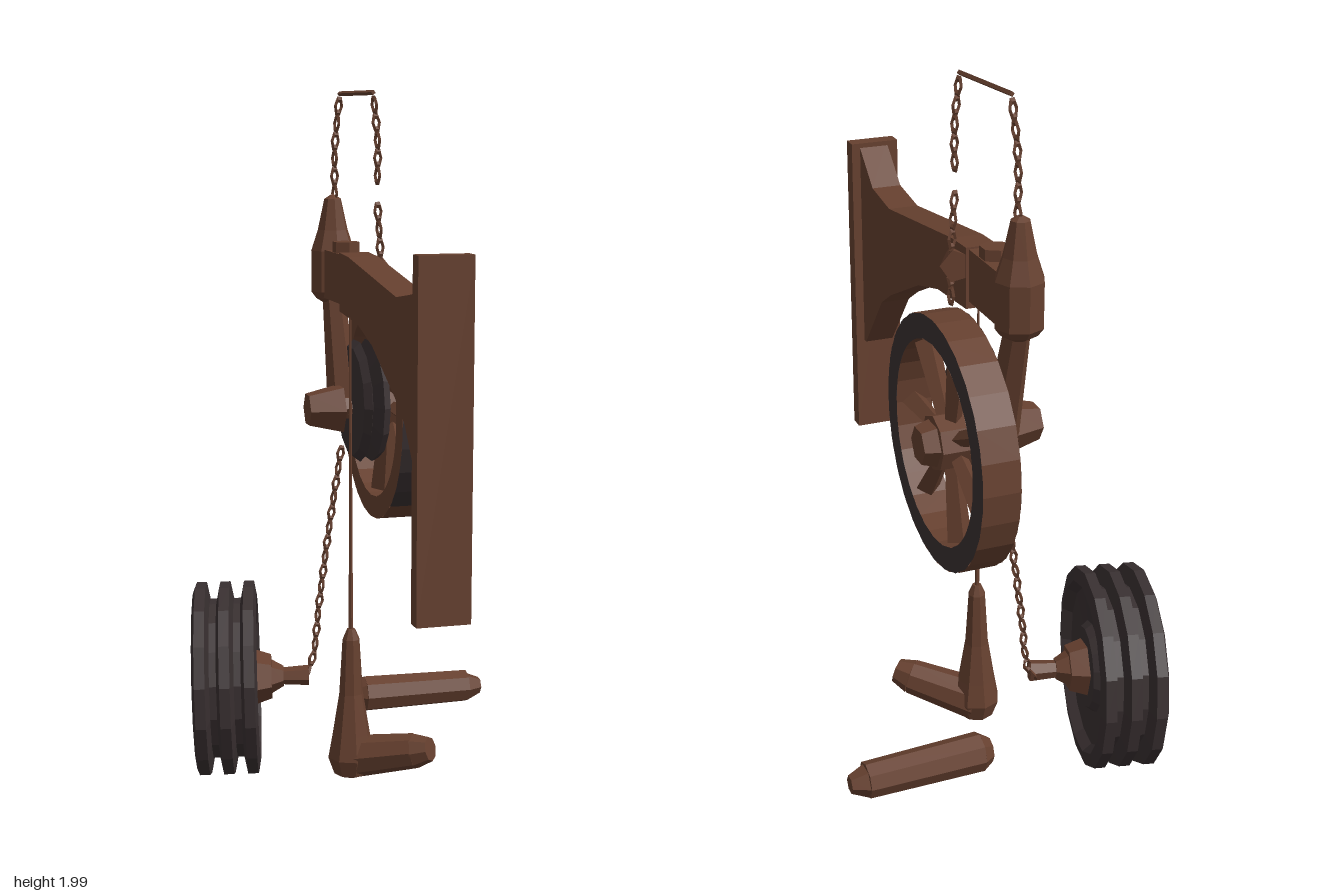
import * as THREE from 'three';

const brown = new THREE.MeshStandardMaterial({ color: 0x66402f, side: THREE.DoubleSide });
brown.name = 'rustyBrown';
const dark = new THREE.MeshStandardMaterial({ color: 0x393031, side: THREE.DoubleSide });
dark.name = 'darkIron';

const V = (x, y, z) => new THREE.Vector3(x, y, z);
const UP = V(0, 1, 0);

// faceted mesh: every face gets its own normal
function part(name, geometry, material, parent) {
  const g = geometry.index ? geometry.toNonIndexed() : geometry;
  g.computeVertexNormals();
  const mesh = new THREE.Mesh(g, material);
  mesh.name = name;
  parent.add(mesh);
  return mesh;
}

// tapered rod between two points
function rod(name, a, b, r0, r1, sides, material, parent) {
  const d = b.clone().sub(a);
  const m = part(name, new THREE.CylinderGeometry(r1, r0, d.length(), sides), material, parent);
  m.position.copy(a).add(b).multiplyScalar(0.5);
  m.quaternion.setFromUnitVectors(UP, d.normalize());
  return m;
}

function box(name, w, h, d, x, y, z, parent) {
  const m = part(name, new THREE.BoxGeometry(w, h, d), brown, parent);
  m.position.set(x, y, z);
  return m;
}

function lathe(name, pts, sides, material, parent) {
  return part(name, new THREE.LatheGeometry(pts.map(p => new THREE.Vector2(...p)), sides), material, parent);
}

// oval links along a path, every other one turned a quarter
function chain(name, points, count, parent) {
  const group = new THREE.Group();
  group.name = name;
  const path = new THREE.CatmullRomCurve3(points);
  const length = path.getLength() / count;
  for (let i = 0; i < count; i++) {
    const t = (i + 0.5) / count;
    const g = new THREE.TorusGeometry(0.011, 0.005, 4, 6);
    g.scale(1, length * 0.62 / 0.016, 1);
    g.rotateY(i % 2 ? 0.35 : 0.35 + Math.PI / 2);
    const link = part('chainLink', g, brown, group);
    link.position.copy(path.getPointAt(t));
    link.quaternion.setFromUnitVectors(UP, path.getTangentAt(t));
  }
  parent.add(group);
}

function wallBracket(root) {
  const g = new THREE.Group();
  g.name = 'wallBracket';
  root.add(g);
  box('wallPlate', 0.14, 0.9, 0.045, 0.01, 1.155, 0.648, g);
  // curved arm, drawn in z and y
  const outline = [[0.635, 1.6], [0.52, 1.5], [0.38, 1.48], [-0.1, 1.545], [-0.2, 1.55],
    [-0.2, 1.385], [0, 1.37], [0.15, 1.33], [0.38, 1.22], [0.46, 1.17], [0.61, 0.99], [0.635, 0.99]];
  const arm = new THREE.ExtrudeGeometry(new THREE.Shape(outline.map(p => new THREE.Vector2(...p))),
    { depth: 0.085, bevelEnabled: false });
  arm.rotateY(-Math.PI / 2).translate(0.055, 0, 0);
  part('arm', arm, brown, g);
  // arm end, socket and hanger
  box('armEnd', 0.075, 0.14, 0.2, 0.01, 1.475, -0.3, g);
  rod('topBolt', V(0.01, 1.54, -0.28), V(0.01, 1.575, -0.28), 0.04, 0.04, 6, brown, g);
  const socket = lathe('hookSocket', [[0, 1.37], [0.05, 1.4], [0.065, 1.42], [0.065, 1.54], [0.045, 1.6],
    [0.025, 1.69], [0, 1.705]], 8, brown, g);
  socket.position.set(0.01, 0, -0.435);
  const hanger = rod('hanger', V(0.01, 1.42, -0.43), V(0.02, 1.06, -0.34), 0.04, 0.06, 6, brown, g);
  hanger.scale.x = 0.75;
  rod('sideHook', V(0.045, 1.5, -0.08), V(0.075, 1.5, -0.19), 0.015, 0.045, 5, brown, g);
}

function spokedWheel(root) {
  const g = new THREE.Group();
  g.name = 'spokedWheel';
  g.position.set(0.15, 1.09, -0.335);
  g.rotation.z = -Math.PI / 2; // local y becomes the axle
  root.add(g);
  const R = 0.335, r = 0.27, w = 0.1, a = 0.9;
  const band = (name, rad, n, start, len, mat) =>
    part(name, new THREE.CylinderGeometry(rad, rad, w, n, 1, true, start, len), mat, g);
  band('rimTreadFront', R, 8, -a, 2 * a, dark);
  band('rimTreadBack', R, 18, a, 2 * Math.PI - 2 * a, brown);
  band('rimInside', r, 26, 0, 2 * Math.PI, brown);
  for (const s of [1, -1]) {
    const face = part('rimFace', new THREE.RingGeometry(r, R, 26), s > 0 ? dark : brown, g);
    face.rotation.x = -s * Math.PI / 2;
    face.position.y = s * w / 2;
  }
  // seven spokes, wider towards the rim
  for (let i = 0; i < 7; i++) {
    const pivot = new THREE.Group();
    pivot.name = 'spoke';
    pivot.rotation.y = i * 2 * Math.PI / 7;
    const spoke = rod('spokeBar', V(0, 0, 0.05), V(0, 0, 0.275), 0.022, 0.034, 4, brown, pivot);
    spoke.scale.x = 0.85;
    g.add(pivot);
  }
  rod('hub', V(0, -0.05, 0), V(0, 0.05, 0), 0.075, 0.075, 8, brown, g);
  rod('outerNut', V(0, 0.04, 0), V(0, 0.09, 0), 0.065, 0.05, 6, brown, g);
  rod('axle', V(0, -0.2, 0.02), V(0, 0.03, 0.02), 0.035, 0.035, 6, brown, g);
  rod('innerNut', V(0, -0.25, 0.03), V(0, -0.15, 0.03), 0.05, 0.075, 6, brown, g);
  // small pulley behind the wheel
  const small = lathe('smallPulley', [[0, -0.12], [0.16, -0.12], [0.18, -0.1], [0.13, -0.085],
    [0.18, -0.065], [0.17, -0.045], [0, -0.045]], 14, dark, g);
  small.position.set(-0.02, 0, 0.025);
}

function groovedPulley(root) {
  const g = new THREE.Group();
  g.name = 'groovedPulley';
  g.position.set(-0.343, 0.293, -0.322);
  g.quaternion.setFromUnitVectors(UP, V(0.977, 0.02, 0.213).normalize());
  root.add(g);
  // three ridges with two grooves
  const pts = [[0.21, -0.08], [0.265, -0.093]];
  for (const y of [-0.07, 0, 0.07]) {
    pts.push([0.285, y - 0.015], [0.285, y + 0.015]);
    if (y < 0.05) pts.push([0.235, y + 0.025], [0.235, y + 0.045]);
  }
  pts.push([0.245, 0.092], [0.225, 0.065], [0.13, 0.06], [0.115, 0.08], [0, 0.08]);
  lathe('pulleyBody', pts, 15, dark, g);
  lathe('pulleyDish', [[0, -0.03], [0.13, -0.045], [0.21, -0.08]], 15, brown, g);
  rod('pulleyHub', V(0, 0.07, 0), V(0, 0.13, 0), 0.085, 0.065, 6, brown, g);
  rod('pulleyNut', V(0, 0.13, 0), V(0, 0.165, 0), 0.05, 0.03, 6, brown, g);
  rod('pulleyAxle', V(0, 0.15, 0), V(0, 0.24, 0), 0.024, 0.03, 6, brown, g);
}

function crankAndHandle(root) {
  const crank = new THREE.Group();
  crank.name = 'hangingCrank';
  root.add(crank);
  rod('cord', V(-0.03, 0.46, -0.078), V(-0.03, 1.38, -0.078), 0.007, 0.003, 5, brown, crank);
  const shaft = lathe('crankShaft', [[0, 0.04], [0.05, 0.06], [0.068, 0.11], [0.055, 0.18], [0.035, 0.3],
    [0.025, 0.46], [0.012, 0.49], [0, 0.49]], 8, brown, crank);
  shaft.position.set(-0.03, 0, -0.075);
  rod('crankFoot', V(-0.03, 0.105, -0.08), V(0.13, 0.15, 0.04), 0.062, 0.05, 8, brown, crank);
  rod('crankFootTip', V(0.13, 0.15, 0.04), V(0.165, 0.162, 0.07), 0.05, 0.035, 8, brown, crank);

  const handle = new THREE.Group();
  handle.name = 'looseHandle';
  root.add(handle);
  rod('handleEnd', V(0.07, 0.175, -0.415), V(0.1, 0.175, -0.415), 0.035, 0.055, 8, brown, handle);
  rod('handleGrip', V(0.1, 0.175, -0.415), V(0.43, 0.172, -0.42), 0.055, 0.05, 8, brown, handle);
  rod('handleTip', V(0.43, 0.17, -0.42), V(0.475, 0.17, -0.42), 0.045, 0.025, 6, brown, handle);
}

export function createModel() {
  const root = new THREE.Group();
  root.name = 'wallCrane';
  wallBracket(root);
  spokedWheel(root);
  groovedPulley(root);
  crankAndHandle(root);
  // chains
  chain('lowerChain', [V(-0.12, 0.28, -0.29), V(-0.09, 0.34, -0.3), V(-0.07, 0.5, -0.3),
    V(-0.04, 0.72, -0.3), V(0, 0.98, -0.295)], 16, root);
  chain('backUpperChain', [V(0.015, 1.68, -0.43), V(0.015, 1.84, -0.425), V(0.025, 1.98, -0.41)], 6, root);
  chain('frontUpperChain', [V(0.07, 1.74, -0.16), V(0.07, 1.86, -0.16), V(0.06, 1.98, -0.165)], 5, root);
  chain('frontLowerChain', [V(0.085, 1.39, -0.17), V(0.08, 1.55, -0.165), V(0.07, 1.69, -0.16)], 6, root);
  rod('chainTop', V(0.025, 1.99, -0.41), V(0.06, 1.99, -0.165), 0.007, 0.007, 4, brown, root);
  return root;
}
